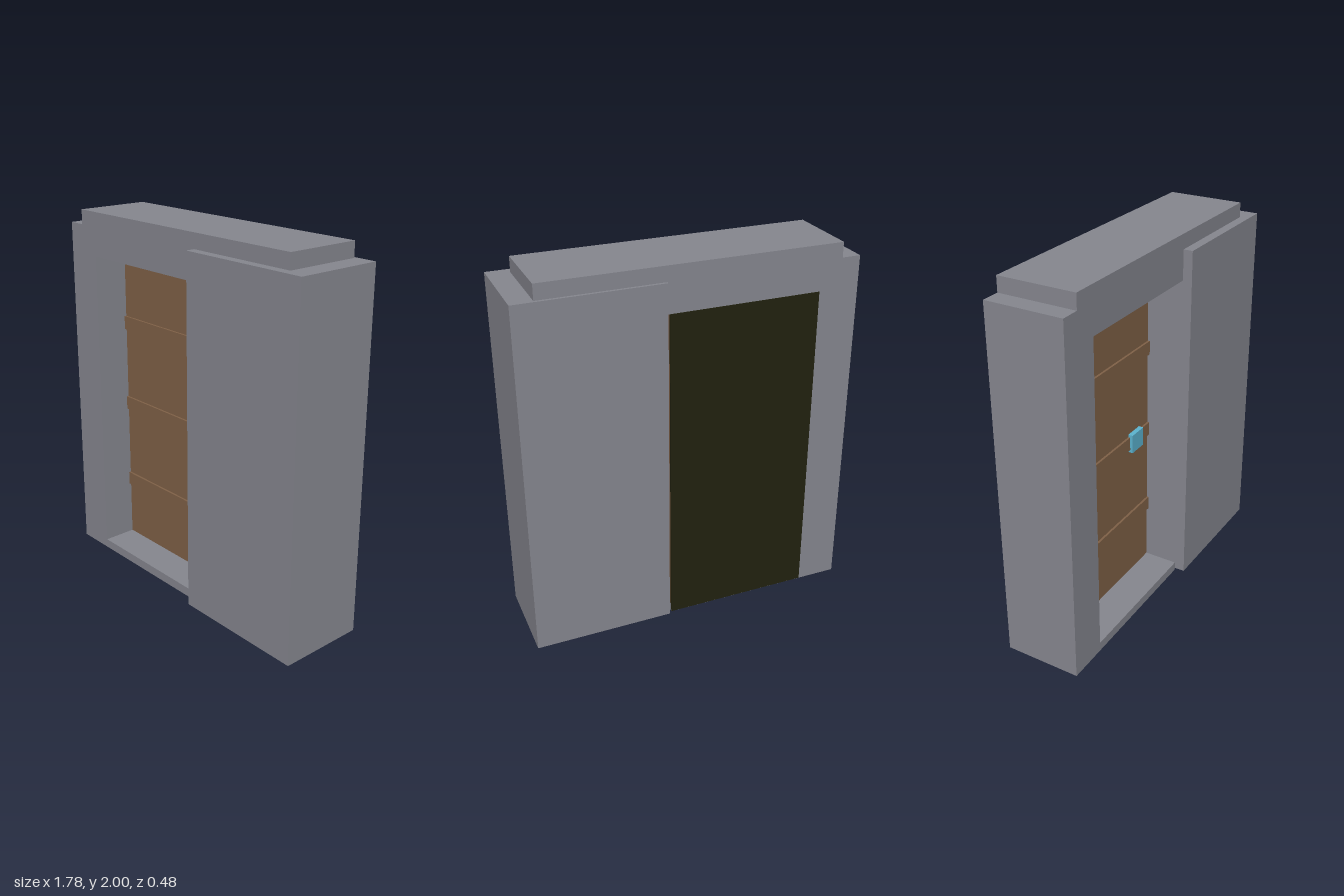
import * as THREE from 'three';

const mat = (name, color) => {
  const m = new THREE.MeshStandardMaterial({ color });
  m.name = name;
  return m;
};

export function createModel() {
  const group = new THREE.Group();
  const stone = mat('stone grey', 0x86878f);
  const wood = mat('wood brown', 0x806147);
  const metal = mat('handle blue', 0x5cb4d0);
  const dark = mat('dark backing', 0x22220f);

  // Box given by its limits on each axis
  const box = (name, m, [x0, x1], [y0, y1], [z0, z1]) => {
    const g = new THREE.BoxGeometry(x1 - x0, y1 - y0, z1 - z0);
    const mesh = new THREE.Mesh(g, m);
    mesh.position.set((x0 + x1) / 2, (y0 + y1) / 2, (z0 + z1) / 2);
    mesh.name = name;
    group.add(mesh);
  };

  // Frame outline: post, raised lintel and sill around the opening
  const outline = [
    [-0.895, 0], [0.125, 0], [0.125, 0.05], [-0.675, 0.05], [-0.675, 1.76],
    [0.775, 1.76], [0.775, 2], [-0.795, 2], [-0.795, 1.92], [-0.895, 1.92],
  ].map(([x, y]) => new THREE.Vector2(x, y));
  const frame = new THREE.Mesh(
    new THREE.ExtrudeGeometry(new THREE.Shape(outline), { depth: 0.415, bevelEnabled: false }), stone);
  frame.position.z = -0.225;
  frame.name = 'doorFrame';
  group.add(frame);

  // Thick wall block that houses the sliding side
  box('wallBlock', stone, [0.14, 0.89], [0, 1.92], [-0.24, 0.24]);

  // Door leaf with raised cross bands
  const doorX = [-0.675, 0.125];
  box('doorLeaf', wood, doorX, [0.05, 1.76], [-0.215, 0]);
  for (const y of [0.365, 0.845, 1.325]) box('doorBand', wood, doorX, [y, y + 0.075], [0, 0.012]);

  // Handle plate and the dark panel behind the door
  box('handle', metal, [-0.075, 0.035], [0.83, 0.935], [0, 0.027]);
  box('backPanel', dark, doorX, [0.002, 1.76], [-0.227, -0.215]);

  return group;
}
